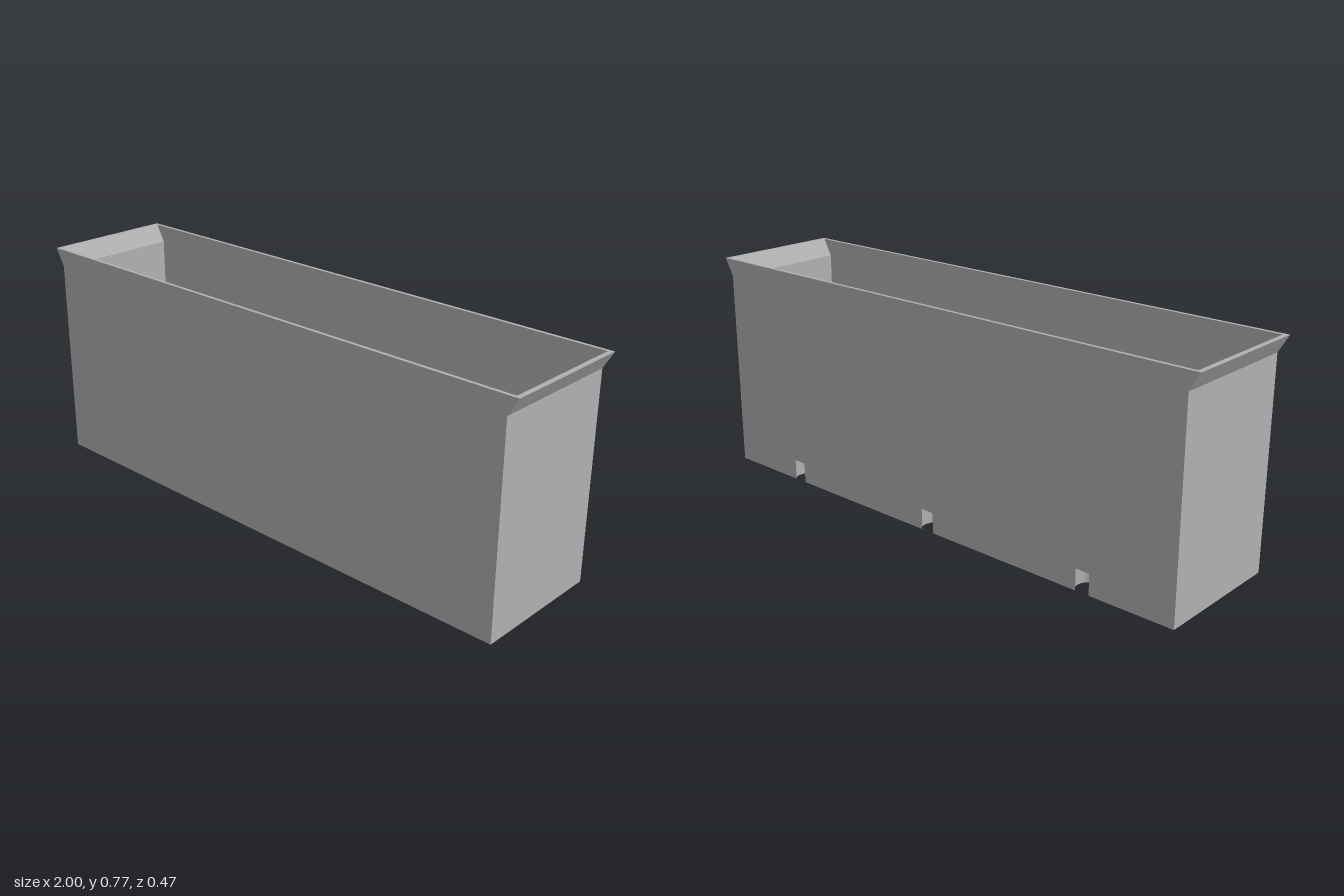
import * as THREE from 'three';
import { toCreasedNormals } from 'three/addons/utils/BufferGeometryUtils.js';

const H = 0.77, NECK = 0.71;            // rim height, start of the flared ends
const HX = 0.965, RIM = 1, HZ = 0.235;  // outer half sizes
const IX = 0.95, IRIM = 0.983, IZ = 0.223; // inner half sizes
const FLOOR = 0.08, FILLET = 0.15;      // trough floor and its rounded edge
const NOTCH_X = [-0.64, 0, 0.64], NOTCH_R = 0.042, NOTCH_W = 0.025, NOTCH_H = 0.073;
const NOTCH_Z = -HZ + Math.sqrt(NOTCH_R ** 2 - NOTCH_W ** 2);

// Skin over rows of points, listed from top to bottom
function skin(rows, crease) {
  const n = rows[0].length, index = [];
  for (let i = 0; i < rows.length - 1; i++) {
    for (let j = 0; j < n - 1; j++) {
      const a = i * n + j, c = a + n;
      index.push(a, c, a + 1, a + 1, c, c + 1);
    }
  }
  const geometry = new THREE.BufferGeometry();
  geometry.setAttribute('position', new THREE.Float32BufferAttribute(rows.flat(2), 3));
  geometry.setIndex(index);
  return toCreasedNormals(geometry, crease);
}

const polygon = (points) => new THREE.Shape(points.map(([x, y]) => new THREE.Vector2(x, y)));
const rectangle = (x, z) => [[-x, -z], [x, -z], [x, z], [-x, z]];

export function createModel() {
  const group = new THREE.Group();
  const grey = new THREE.MeshStandardMaterial({ color: 0xb0b0b0 });
  grey.name = 'grey';
  const add = (name, geometry) => {
    const mesh = new THREE.Mesh(geometry, grey);
    mesh.name = name;
    group.add(mesh);
    return mesh;
  };

  // Long walls, the back one cut by the drain notches
  const sides = [[HX, 0], [HX, NECK], [RIM, H], [-RIM, H], [-HX, NECK], [-HX, 0]];
  add('frontWall', new THREE.ShapeGeometry(polygon(sides)).translate(0, 0, HZ));
  const cuts = NOTCH_X.flatMap((x) => [
    [x - NOTCH_W, 0], [x - NOTCH_W, NOTCH_H], [x + NOTCH_W, NOTCH_H], [x + NOTCH_W, 0],
  ]);
  add('backWall', new THREE.ShapeGeometry(polygon([...sides, ...cuts]))
    .rotateY(Math.PI).translate(0, 0, -HZ));

  // End walls with flared lips
  const endRows = [[RIM, H], [HX, NECK], [HX, 0]].map(([x, y]) => [[x, y, HZ], [x, y, -HZ]]);
  add('rightEnd', skin(endRows, 0.3));
  add('leftEnd', skin(endRows, 0.3).rotateY(Math.PI));

  // Underside with a round bite at every notch
  const start = Math.atan2(-HZ - NOTCH_Z, -NOTCH_W);
  const end = Math.atan2(-HZ - NOTCH_Z, NOTCH_W);
  const base = new THREE.Shape().moveTo(-HX, -HZ);
  for (const x of NOTCH_X) {
    base.lineTo(x - NOTCH_W, -HZ);
    base.absarc(x, NOTCH_Z, NOTCH_R, start, end, true);
  }
  base.lineTo(HX, -HZ).lineTo(HX, HZ).lineTo(-HX, HZ);
  add('underside', new THREE.ShapeGeometry(base, 24).rotateX(Math.PI / 2));

  // Drain notches: round wall and flat ceiling
  for (const x of NOTCH_X) {
    const arc = new THREE.Shape();
    arc.absarc(x, NOTCH_Z, NOTCH_R, end, start, false);
    const points = arc.getPoints(24);
    add('notchWall', skin([NOTCH_H, 0].map((y) => points.map((p) => [p.x, y, p.y])), 0.5));
    add('notchCeiling', new THREE.ShapeGeometry(arc, 24).rotateX(Math.PI / 2).translate(0, NOTCH_H, 0));
  }

  // Thin top rim
  const rim = polygon(rectangle(RIM, HZ));
  rim.holes.push(polygon(rectangle(IRIM, IZ)));
  add('rim', new THREE.ShapeGeometry(rim).rotateX(-Math.PI / 2).translate(0, H, 0));

  // Inner trough: flared top, straight walls, rounded lower edge
  const ring = (x, y, z) => [[x, y, z], [-x, y, z], [-x, y, -z], [x, y, -z], [x, y, z]];
  const rings = [ring(IRIM, H, IZ), ring(IX, NECK, IZ)];
  for (let i = 0; i <= 10; i++) {
    const t = (i / 10) * Math.PI / 2, inset = FILLET * (1 - Math.cos(t));
    rings.push(ring(IX - inset, FLOOR + FILLET * (1 - Math.sin(t)), IZ - inset));
  }
  add('trough', skin(rings, 0.45));
  add('troughFloor', new THREE.PlaneGeometry(2 * (IX - FILLET), 2 * (IZ - FILLET))
    .rotateX(-Math.PI / 2).translate(0, FLOOR, 0));

  return group;
}
